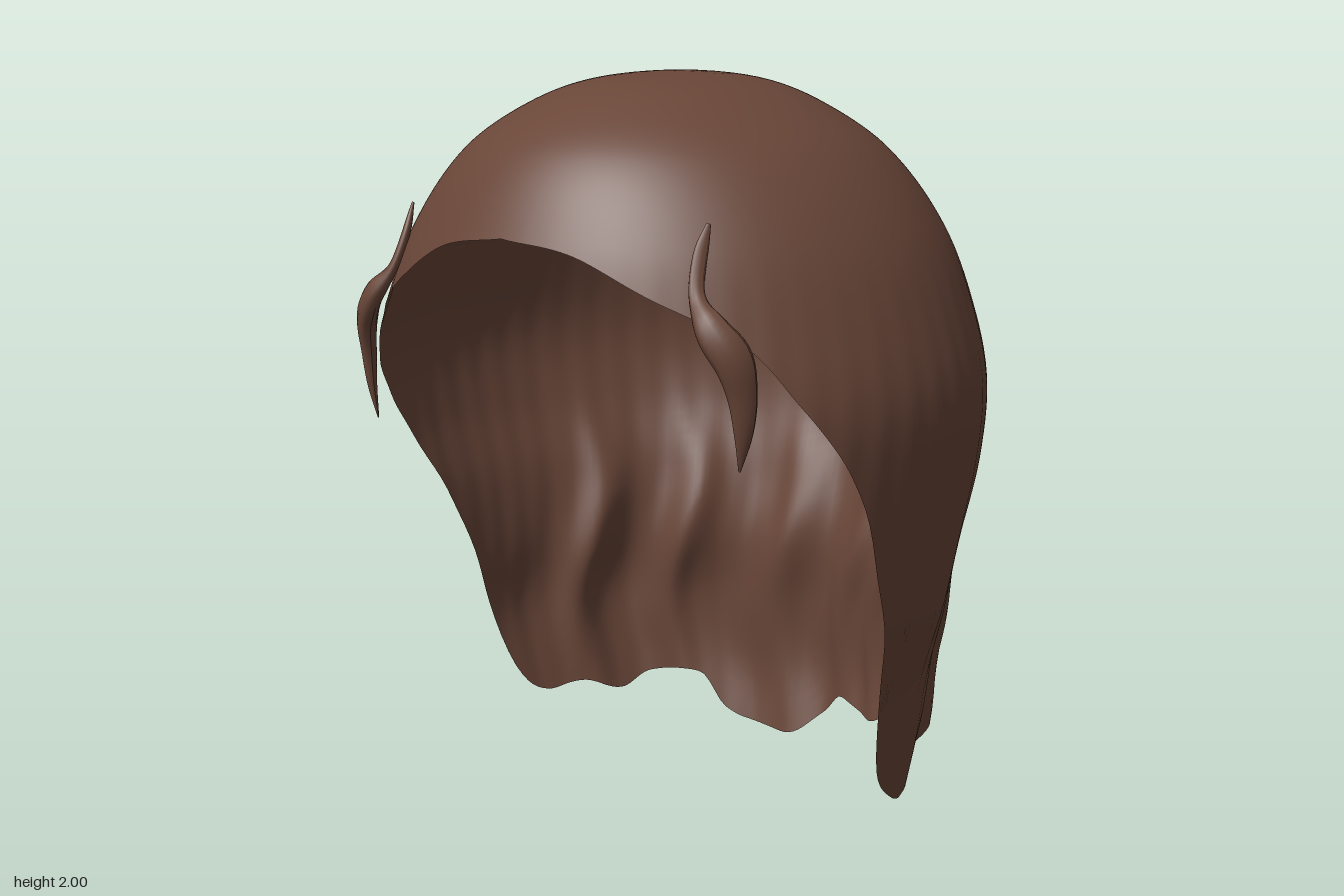
import * as THREE from 'three';

const hairMat = new THREE.MeshStandardMaterial({ color: 0x694638, side: THREE.DoubleSide });
hairMat.name = 'brown hair';

// Smooth interpolation through [key, value] pairs sorted by key
function curve(points) {
  const n = points.length;
  const slope = (i) => {
    const a = points[Math.max(0, i - 1)], b = points[Math.min(n - 1, i + 1)];
    return (b[1] - a[1]) / (b[0] - a[0]);
  };
  return (k) => {
    let i = 0;
    while (i < n - 2 && k > points[i + 1][0]) i++;
    const [k0, v0] = points[i], [k1, v1] = points[i + 1];
    const h = k1 - k0, t = THREE.MathUtils.clamp((k - k0) / h, 0, 1);
    const t2 = t * t, t3 = t2 * t;
    return v0 * (2 * t3 - 3 * t2 + 1) + slope(i) * h * (t3 - 2 * t2 + t)
      + v1 * (3 * t2 - 2 * t3) + slope(i + 1) * h * (t3 - t2);
  };
}

// Silhouette radii at these heights, keyed by sqrt(depth) for a round crown
const heights = [2, 1.98, 1.9, 1.8, 1.6, 1.4, 1.2, 1, 0.8, 0.6, 0.4, 0.2, 0];
const radius = (values) => curve(heights.map((y, i) => [Math.sqrt(2 - y), values[i]]));
const leftR = radius([0, 0.21, 0.41, 0.55, 0.70, 0.78, 0.825, 0.81, 0.775, 0.735, 0.665, 0.625, 0.59]);
const rightR = radius([0, 0.21, 0.41, 0.55, 0.70, 0.78, 0.825, 0.80, 0.745, 0.725, 0.735, 0.69, 0.63]);
const frontR = radius([0, 0.25, 0.46, 0.59, 0.71, 0.78, 0.85, 0.88, 0.85, 0.83, 0.8, 0.75, 0.7]);
const backR = radius([0, 0.21, 0.40, 0.54, 0.69, 0.765, 0.80, 0.795, 0.74, 0.69, 0.70, 0.705, 0.67]);

// Height of the hem around the head, in degrees from the front
const faceEdge = [[0, 1.61], [17, 1.58], [32, 1.49], [50, 1.37], [58, 1.25], [72, 1]];
const hem = curve([
  ...faceEdge, [80, 0.72], [88, 0.43],
  [93, 0.2], [98, 0.12], [111, 0.05], [122, 0.08], [129, 0.14], [141, 0.17], [151, 0.15], [161, 0.1],
  [174, 0.14], [180, 0.08], [188, 0.01], [197, 0.015], [208, 0.06], [214, 0.16], [226, 0.16],
  [234, 0.12], [244, 0.16], [255, 0.15], [262, 0.22], [268, 0.43], [277, 0.72],
  ...faceEdge.slice().reverse().map(([a, y]) => [360 - a, y]),
]);

// Wavy folds: [angle, depth, width]; negative depth is a ridge
const folds = [[127, 0.06, 5], [137, -0.02, 6], [149, 0.035, 5], [160, 0.03, 4], [171, 0.03, 5],
  [181, -0.015, 6], [191, 0.03, 6], [203, -0.015, 6], [217, 0.045, 5], [228, -0.02, 6],
  [240, 0.045, 5], [252, -0.01, 6]];
const bump = (x, width) => Math.exp(-((x / width) ** 2));
function foldDepth(angle, y) {
  const fade = THREE.MathUtils.smoothstep(1.15 - y, 0, 0.5) * (0.75 + 0.25 * Math.cos((y - 0.6) * 5));
  const shift = angle + 3.5 * Math.sin((y - 0.55) * 7.5);
  let d = 0;
  for (const [c, depth, w] of folds) d += depth * bump(shift - c, w);
  // Fuller locks at the two back corners, flaring near the hem
  const flare = THREE.MathUtils.smoothstep(0.75 - y, 0, 0.35);
  const corners = 0.05 * bump(angle - 137, 13) + 0.035 * bump(angle - 226, 13);
  return d * fade - corners * flare
    + 0.0012 * Math.sin(angle * 0.9) * THREE.MathUtils.smoothstep(2 - y, 0.3, 0.9);
}

// Shell of hair swept from the crown down to the hem
function hairShell() {
  const around = 270, rows = 72, pos = [], index = [];
  for (let r = 0; r <= rows; r++) {
    for (let i = 0; i < around; i++) {
      const deg = (i / around) * 360, a = THREE.MathUtils.degToRad(deg);
      const y = 2 - (2 - hem(deg)) * (r / rows) ** 1.7;
      const k = Math.sqrt(Math.max(0, 2 - y)), s = Math.sin(a), c = Math.cos(a);
      const scale = 1 - foldDepth(deg, y) / 0.7;
      pos.push(s * (s > 0 ? leftR : rightR)(k) * scale, y,
        0.05 + c * (c > 0 ? frontR : backR)(k) * scale);
      if (r < rows) {
        const j = (i + 1) % around, p = r * around, q = p + around;
        index.push(p + i, q + i, q + j);
        if (r > 0) index.push(p + i, q + j, p + j);
      }
    }
  }
  const g = new THREE.BufferGeometry();
  g.setAttribute('position', new THREE.Float32BufferAttribute(pos, 3));
  g.setIndex(index);
  g.computeVertexNormals();
  // The crown points share one upright normal
  for (let i = 0; i < around; i++) g.attributes.normal.setXYZ(i, 0, 1, 0);
  return g;
}

// Tapered loose lock at the temple, flattened against the head
function templeLock(side) {
  const path = new THREE.CatmullRomCurve3([
    [0.488, 1.66, 0.56], [0.486, 1.58, 0.592], [0.505, 1.49, 0.625], [0.565, 1.415, 0.64],
    [0.608, 1.35, 0.62], [0.622, 1.26, 0.602], [0.62, 1.17, 0.595], [0.605, 1.08, 0.59],
  ].map(([x, y, z]) => new THREE.Vector3(side * x, y, z)));
  const thickness = curve([[0, 0.006], [0.1, 0.018], [0.3, 0.022], [0.43, 0.042], [0.55, 0.05], [0.7, 0.038], [0.85, 0.024], [1, 0.003]]);
  const steps = 40, sides = 12, outward = new THREE.Vector3(side * 0.78, 0, 0.62).normalize();
  const g = new THREE.TubeGeometry(path, steps, 1, sides);
  const p = g.attributes.position, v = new THREE.Vector3();
  for (let i = 0; i < p.count; i++) {
    const t = Math.floor(i / (sides + 1)) / steps, centre = path.getPointAt(t);
    v.fromBufferAttribute(p, i).sub(centre).multiplyScalar(thickness(t));
    v.addScaledVector(outward, -0.45 * v.dot(outward)).add(centre);
    p.setXYZ(i, v.x, v.y, v.z);
  }
  g.computeVertexNormals();
  return g;
}

export function createModel() {
  const group = new THREE.Group();
  group.name = 'hair';
  const add = (name, geometry) => {
    const mesh = new THREE.Mesh(geometry, hairMat);
    mesh.name = name;
    group.add(mesh);
  };
  add('hairShell', hairShell());
  add('leftTempleLock', templeLock(1));
  add('rightTempleLock', templeLock(-1));
  return group;
}
